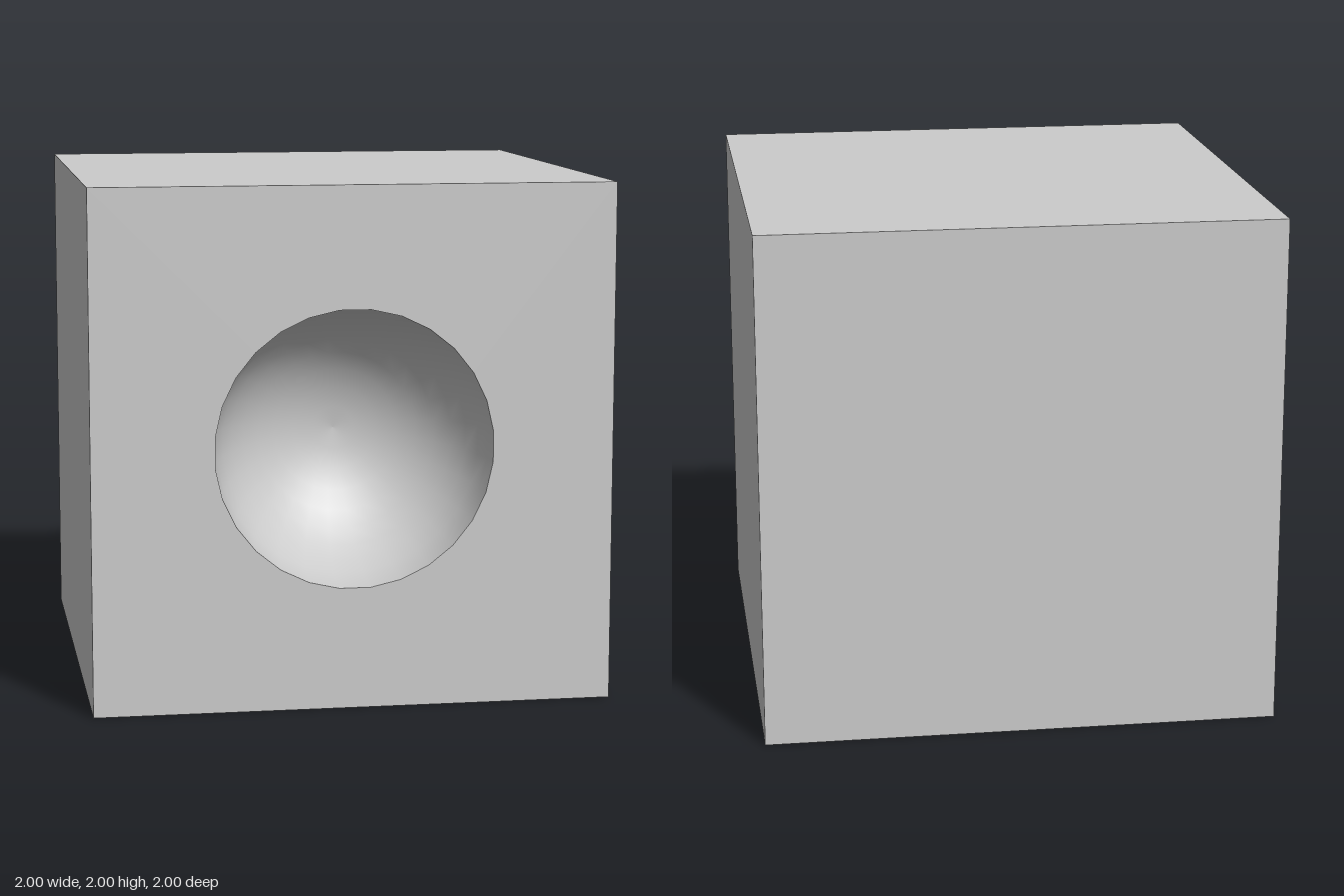
import * as THREE from 'three';

const SIZE = 2, RADIUS = 0.535, SIDES = 28, RINGS = 10;
const STEP = (Math.PI * 2) / SIDES;

export function createModel() {
  const model = new THREE.Group();
  model.name = 'hollowedCube';
  const material = new THREE.MeshStandardMaterial({ color: 0xcccccc });

  const block = new THREE.Group();
  block.name = 'block';
  block.position.y = SIZE / 2;
  model.add(block);

  const add = (name, geometry) => {
    const mesh = new THREE.Mesh(geometry, material);
    mesh.name = name;
    block.add(mesh);
  };

  // plain faces: rotation about x and y turns a +z plane outwards
  const faces = {
    backFace: [0, Math.PI],
    leftFace: [0, Math.PI / 2],
    rightFace: [0, -Math.PI / 2],
    topFace: [-Math.PI / 2, 0],
    bottomFace: [Math.PI / 2, 0],
  };
  for (const [name, [rx, ry]] of Object.entries(faces)) {
    add(name, new THREE.PlaneGeometry(SIZE, SIZE)
      .translate(0, 0, SIZE / 2).rotateX(rx).rotateY(ry));
  }

  // front face with a round opening
  const h = SIZE / 2;
  const square = new THREE.Shape([
    new THREE.Vector2(-h, -h), new THREE.Vector2(h, -h),
    new THREE.Vector2(h, h), new THREE.Vector2(-h, h),
  ]);
  const rim = [];
  for (let i = 0; i < SIDES; i++) {
    const a = (i + 0.5) * STEP;
    rim.push(new THREE.Vector2(Math.cos(a) * RADIUS, Math.sin(a) * RADIUS));
  }
  square.holes.push(new THREE.Path(rim));
  add('frontFace', new THREE.ShapeGeometry(square).translate(0, 0, h));

  // hemispherical hollow, profile runs from rim to pole so it faces inwards
  const profile = [];
  for (let i = 0; i <= RINGS; i++) {
    const a = (i / RINGS) * Math.PI / 2;
    profile.push(new THREE.Vector2(i === RINGS ? 0 : Math.cos(a) * RADIUS, -Math.sin(a) * RADIUS));
  }
  add('hollow', new THREE.LatheGeometry(profile, SIDES, STEP / 2)
    .rotateX(Math.PI / 2).translate(0, 0, h));

  return model;
}
